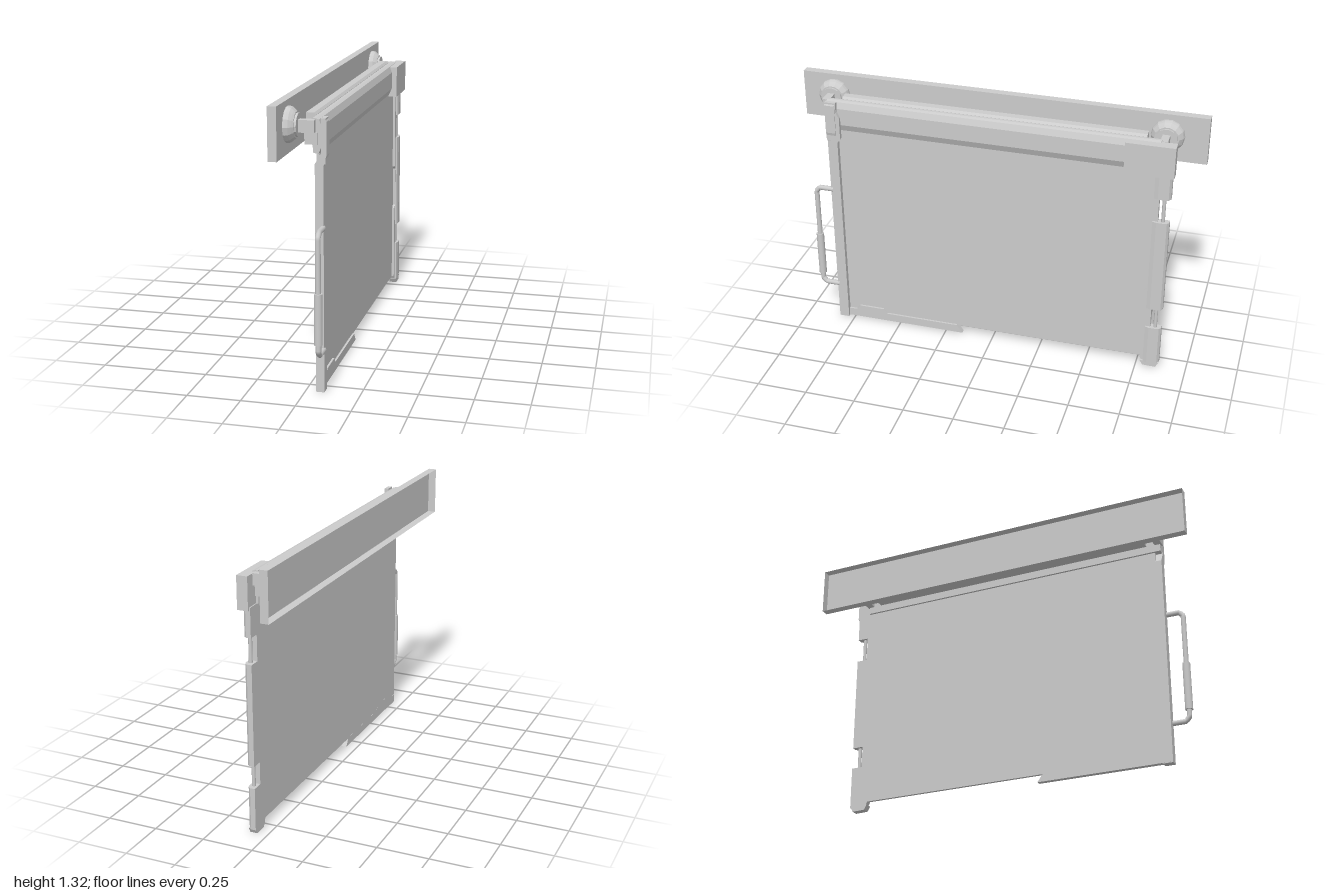
import * as THREE from 'three';

export function createModel() {
  const model = new THREE.Group();
  const mat = new THREE.MeshStandardMaterial({ color: 0xcccccc, flatShading: true });
  const smooth = new THREE.MeshStandardMaterial({ color: 0xcccccc });
  const thin = new THREE.MeshStandardMaterial({ color: 0xcccccc, side: THREE.DoubleSide });

  const add = (name, geo, m = mat) => {
    const mesh = new THREE.Mesh(geo, m);
    mesh.name = name;
    model.add(mesh);
    return mesh;
  };
  // Box from its limits on each axis
  const box = (name, x0, x1, y0, y1, z0, z1) =>
    add(name, new THREE.BoxGeometry(x1 - x0, y1 - y0, z1 - z0)
      .translate((x0 + x1) / 2, (y0 + y1) / 2, (z0 + z1) / 2));
  const extrude = (pts, depth) => new THREE.ExtrudeGeometry(
    new THREE.Shape(pts.map(p => new THREE.Vector2(...p))), { depth, bevelEnabled: false });
  // (x, y) section running along z
  const alongZ = (name, pts, z0, z1) => add(name, extrude(pts, z1 - z0).translate(0, 0, z0));
  // (z, y) outline with thickness in x
  const alongX = (name, pts, x0, x1) =>
    add(name, extrude(pts.map(([z, y]) => [-z, y]), x1 - x0).rotateY(Math.PI / 2).translate(x0, 0, 0));
  // (x, z) section running up y
  const alongY = (name, pts, y0, y1) =>
    add(name, extrude(pts.map(([x, z]) => [x, -z]), y1 - y0).rotateX(-Math.PI / 2).translate(0, y0, 0));

  // Wall plate: a shallow tray open towards -x
  const tray = new THREE.BoxGeometry(0.04, 0.235, 2);
  const index = Array.from(tray.index.array);
  index.splice(6, 6);
  tray.setIndex(index);
  add('wallPlate', tray.translate(-0.088, 1.2075, 0), thin);

  // Round mounts with brackets reaching to the door
  const dome = [[0, 0], [0.08, 0], [0.08, 0.01], [0.076, 0.022], [0.066, 0.034],
    [0.058, 0.042], [0.052, 0.042], [0.052, 0.052], [0, 0.052]];
  for (const z of [-0.81, 0.84]) {
    const geo = new THREE.LatheGeometry(dome.map(p => new THREE.Vector2(...p)), 14);
    add('roundMount', geo.rotateZ(-Math.PI / 2).translate(-0.067, 1.22, z), mat);
    box('bracketArm', -0.016, 0.055, 1.19, 1.245, z - 0.018, z + 0.018);
    const s = Math.sign(z);
    box('bracketFoot', 0.007, 0.066, 1.136, 1.19, z - 0.018 - s * 0.02, z + 0.018 - s * 0.02);
  }

  // Slim rail behind the header
  alongZ('rail', [[0.007, 1.136], [0.04, 1.136], [0.04, 1.25], [0.03, 1.26], [-0.006, 1.26],
    [-0.006, 1.195], [0.007, 1.19]], -0.73, 0.76);

  // Door panel and its header
  box('panel', 0.05, 0.064, 0.045, 1.15, -0.8, 0.8);
  alongZ('header', [[0.042, 1.1], [0.066, 1.095], [0.082, 1.13], [0.082, 1.215],
    [0.07, 1.245], [0.055, 1.25], [0.042, 1.25]], -0.8, 0.83);
  box('headerEndBox', 0.055, 0.108, 1.086, 1.243, -0.875, -0.64);

  // Front post, cranked outwards at the top
  alongZ('frontPost', [[0.05, 0.005], [0.088, 0.005], [0.088, 1.04], [0.102, 1.09], [0.102, 1.235],
    [0.094, 1.25], [0.078, 1.25], [0.078, 1.1], [0.05, 1.05]], 0.78, 0.83);
  alongX('postCap', [[0.83, 1.05], [0.775, 1.04], [0.76, 1.06], [0.76, 1.17], [0.775, 1.2],
    [0.775, 1.25], [0.83, 1.25]], 0.08, 0.098);

  // Bottom strip with a slanted end and a small raised pad
  alongX('bottomStrip', [[0.83, 0.008], [0.16, 0.008], [0.19, 0.05], [0.57, 0.05], [0.59, 0.075],
    [0.72, 0.075], [0.74, 0.05], [0.83, 0.05]], 0.0495, 0.074);

  // Rear edge strip, notched at mid height
  alongX('rearStrip', [[-0.767, 0.045], [-0.767, 0.44], [-0.782, 0.455], [-0.782, 0.66],
    [-0.767, 0.675], [-0.767, 1.09], [-0.81, 1.09], [-0.81, 0.02], [-0.78, 0.02]], 0.05, 0.076);

  // Hinge column: knuckles around a thin pin
  const knuckle = [[0.05, -0.785], [0.05, -0.865], [0.074, -0.865], [0.086, -0.855],
    [0.09, -0.84], [0.09, -0.805], [0.084, -0.785]];
  for (const [y0, y1] of [[0.025, 0.235], [0.345, 0.835], [0.96, 1.1]]) alongY('hingeKnuckle', knuckle, y0, y1);
  alongX('hingeFoot', [[-0.77, 0.03], [-0.785, 0.005], [-0.85, 0.003], [-0.865, 0.03]], 0.05, 0.086);
  add('hingePin', new THREE.CylinderGeometry(0.009, 0.009, 1.05, 10).translate(0.07, 0.56, -0.834), smooth);

  // Pull handle: bent bar with a thicker grip
  const path = new THREE.CurvePath();
  const pts = [[0.205, 0.82], [0.205, 0.893], [0.225, 0.911], [0.745, 0.911], [0.766, 0.893], [0.766, 0.82]]
    .map(([y, z]) => new THREE.Vector3(0.083, y, z));
  for (let i = 1; i < pts.length; i++) path.add(new THREE.LineCurve3(pts[i - 1], pts[i]));
  add('handleBar', new THREE.TubeGeometry(path, 80, 0.0125, 10), smooth);
  add('handleGrip', new THREE.CylinderGeometry(0.019, 0.019, 0.235, 12).translate(0.083, 0.378, 0.911), smooth);

  return model;
}
